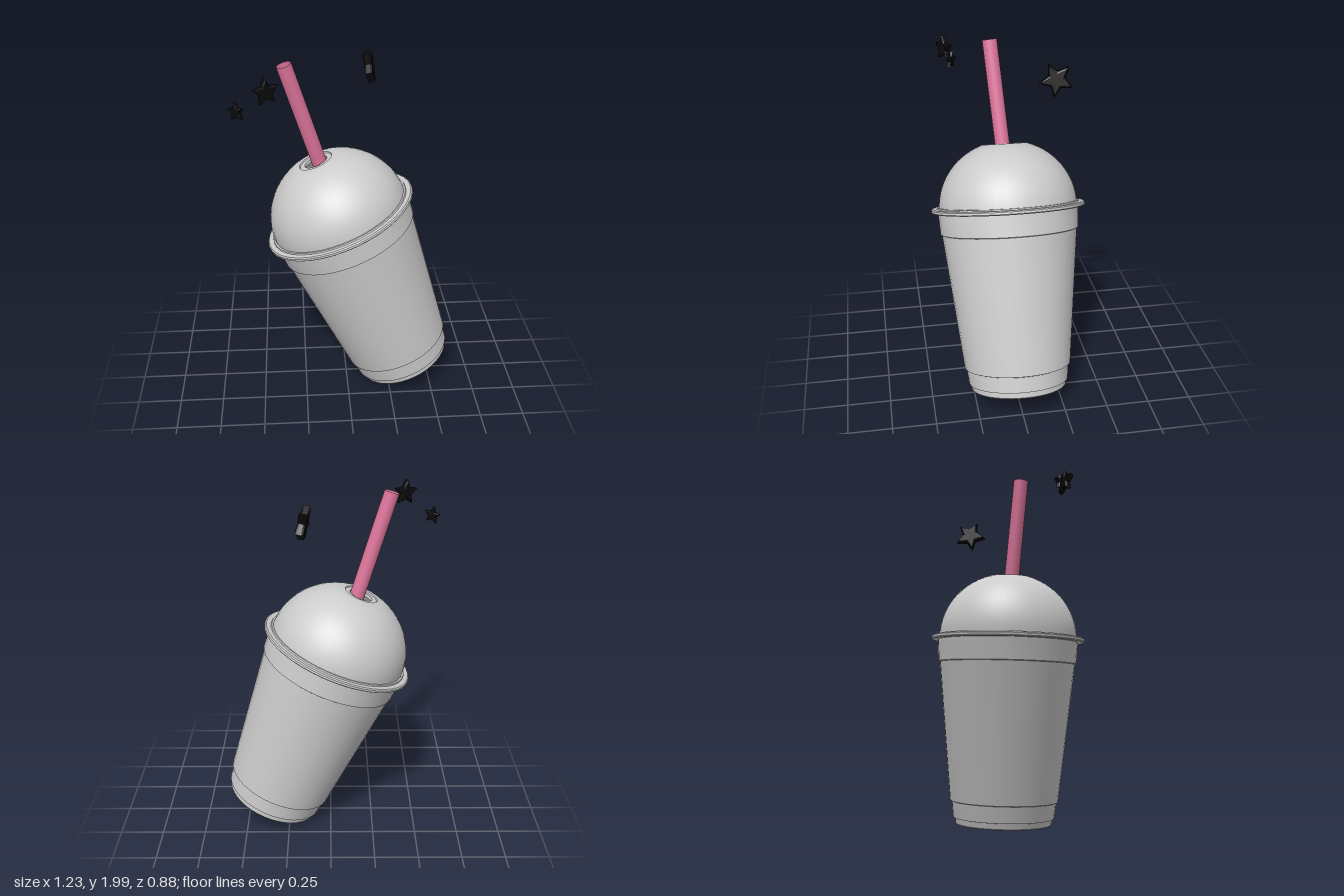
import * as THREE from 'three';
import { toCreasedNormals } from 'three/addons/utils/BufferGeometryUtils.js';

const material = (color) => new THREE.MeshStandardMaterial({ color, side: THREE.DoubleSide });
const grey = material(0xcccccc);
const pink = material(0xdb7399);
const black = material(0x0a0a0a);
const tan = material(0xc9904f);

// Surface of revolution from [radius, height] pairs, with sharp steps kept
function turned(name, profile, mat) {
  const points = profile.map(([r, y]) => new THREE.Vector2(r, y));
  const mesh = new THREE.Mesh(toCreasedNormals(new THREE.LatheGeometry(points, 40), 0.5), mat);
  mesh.name = name;
  return mesh;
}

// Chunky bevelled five-pointed star whose face looks along `normal`
function star(name, radius, position, normal, spin) {
  const bevel = radius * 0.14;
  const shape = new THREE.Shape();
  for (let i = 0; i < 10; i++) {
    const r = (i % 2 ? 0.52 : 1) * radius - bevel * 1.1;
    const a = Math.PI / 2 + (i * Math.PI) / 5;
    shape[i ? 'lineTo' : 'moveTo'](r * Math.cos(a), r * Math.sin(a));
  }
  shape.closePath();
  const geometry = new THREE.ExtrudeGeometry(shape, {
    depth: radius * 0.24, bevelEnabled: true, bevelThickness: bevel, bevelSize: bevel, bevelSegments: 2,
  });
  geometry.center();
  const mesh = new THREE.Mesh(geometry, black);
  mesh.name = name;
  mesh.lookAt(new THREE.Vector3(...normal));
  mesh.rotateZ(spin);
  mesh.position.set(...position);
  return mesh;
}

export function createModel() {
  const model = new THREE.Group();
  model.name = 'takeawayCup';

  // Leaning cup with its lid
  const cup = new THREE.Group();
  cup.name = 'cup';
  cup.position.set(0.355, 0.108, 0);
  cup.rotation.z = THREE.MathUtils.degToRad(21.8);
  model.add(cup);

  cup.add(turned('cupBody', [
    [0, 0], [0.268, 0], [0.275, 0.006], [0.279, 0.037], [0.289, 0.039],
    [0.299, 0.13], [0.309, 0.134], [0.389, 0.918], [0.397, 0.922], [0.404, 1.05],
  ], grey));

  cup.add(turned('lidRim', [
    [0.395, 1.045], [0.434, 1.045], [0.442, 1.051], [0.442, 1.063], [0.435, 1.069],
    [0.408, 1.069], [0.405, 1.076], [0.39, 1.076],
  ], grey));

  // Dome flattened at the top, around the straw hole
  const dome = [];
  for (let i = 0; i <= 14; i++) {
    const a = (i / 14) * Math.acos(0.127 / 0.396);
    dome.push([0.396 * Math.cos(a), 1.062 + 0.375 * Math.sin(a)]);
  }
  dome.push([0.097, 1.418], [0.093, 1.412], [0.066, 1.412], [0.066, 1.395]);
  cup.add(turned('domeLid', dome, grey));

  // Drink, glimpsed through the hole
  cup.add(turned('drink', [[0.375, 0.95], [0.3, 1.0], [0.15, 1.04], [0, 1.05]], tan));

  // Hollow straw
  const top = new THREE.Vector3(-0.331, 1.988, 0.057);
  const direction = new THREE.Vector3(-0.318, 1, 0.077).normalize();
  const length = 1.1;
  const straw = new THREE.Mesh(new THREE.CylinderGeometry(0.042, 0.042, length, 24, 1, true), pink);
  straw.name = 'straw';
  straw.quaternion.setFromUnitVectors(new THREE.Vector3(0, 1, 0), direction);
  straw.position.copy(top).addScaledVector(direction, -length / 2);
  model.add(straw);

  // Floating stars
  model.add(star('mediumStar', 0.07, [-0.425, 1.932, 0.305], [0.45, 0, 0.9], 0.08));
  model.add(star('smallStar', 0.048, [-0.578, 1.812, 0.253], [-0.55, 0, 0.83], 0.15));
  model.add(star('largeStar', 0.09, [0.14, 1.9, -0.222], [0.97, 0.18, 0.15], 0.5));
  return model;
}
